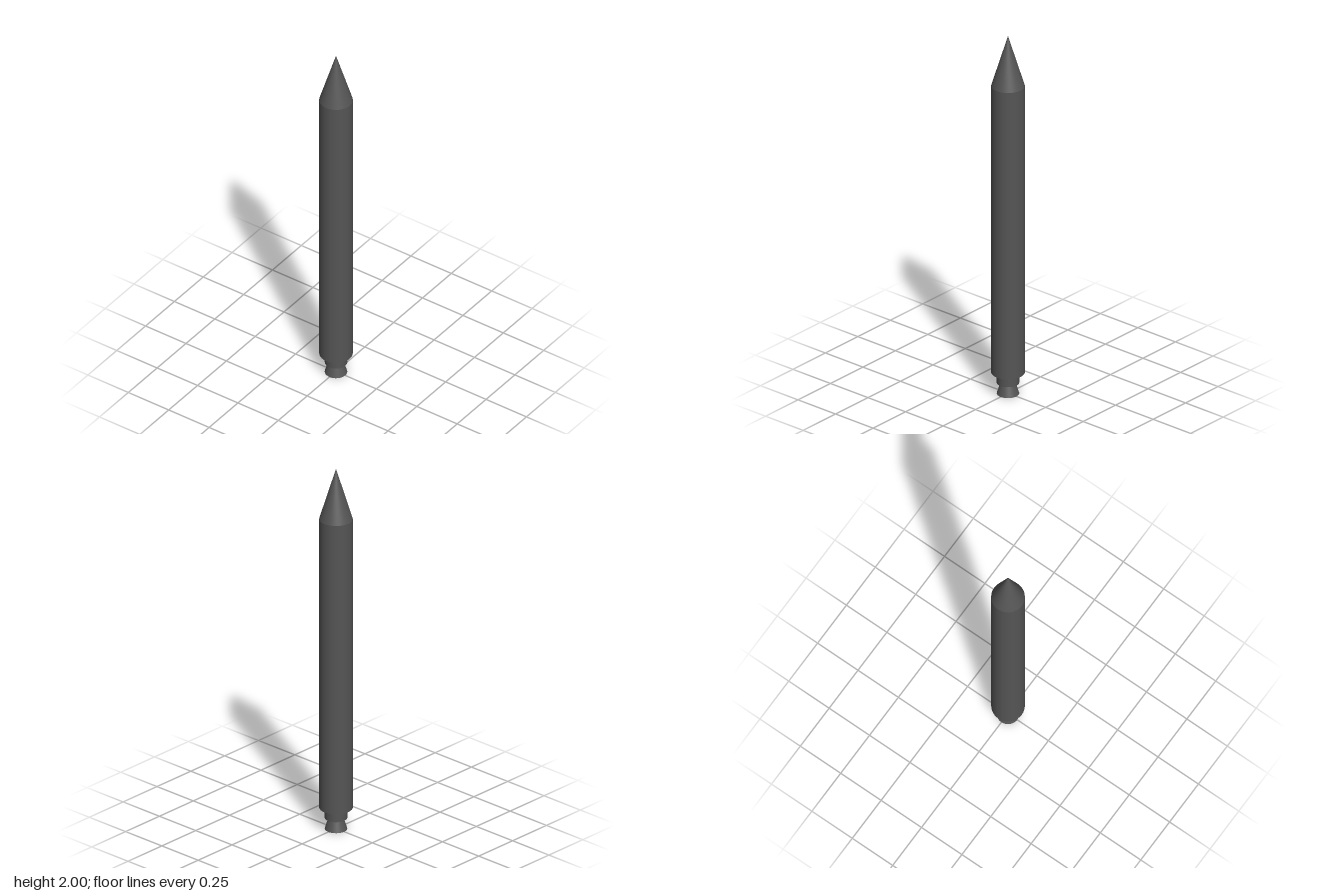
import * as THREE from 'three';

export function createModel() {
  const group = new THREE.Group();
  const grey = new THREE.MeshStandardMaterial({ color: 0x555555 });
  grey.name = 'dark grey';
  // The nozzle is an open shell, seen from inside as well
  const shell = new THREE.MeshStandardMaterial({ color: 0x555555, side: THREE.DoubleSide });
  shell.name = 'dark grey shell';

  // Adds a round section between two heights
  function section(name, rTop, rBottom, y0, y1, material = grey, open = false) {
    const geometry = new THREE.CylinderGeometry(rTop, rBottom, y1 - y0, 32, 1, open);
    const mesh = new THREE.Mesh(geometry, material);
    mesh.name = name;
    mesh.position.y = (y0 + y1) / 2;
    group.add(mesh);
  }

  section('noseCone', 0, 0.085, 1.721, 2);
  section('body', 0.085, 0.085, 0.118, 1.721);
  section('engineCollar', 0.057, 0.057, 0.061, 0.118);
  section('nozzle', 0.038, 0.057, 0, 0.061, shell, true);

  return group;
}
